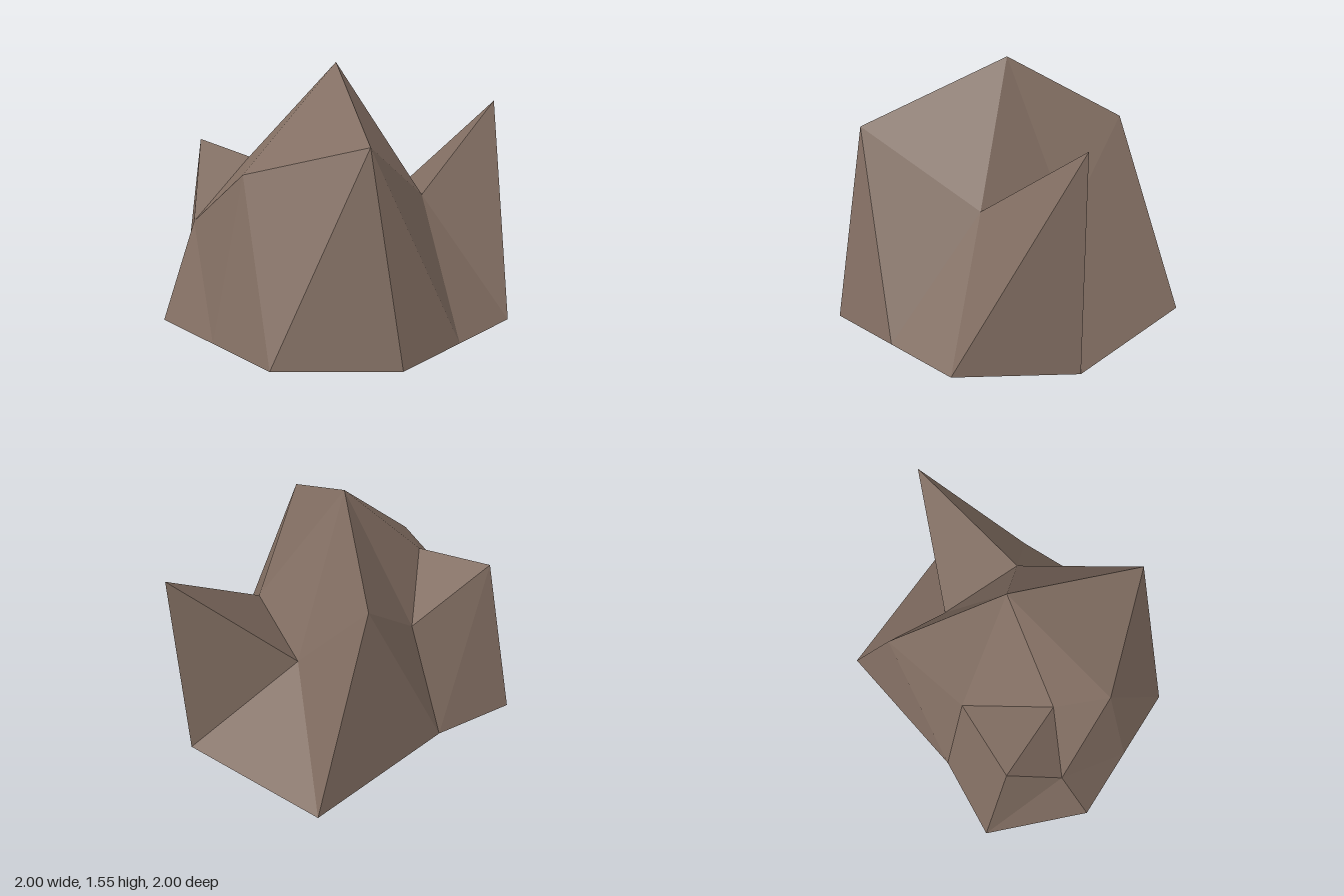
import * as THREE from 'three';

// Corners of the boulder
const v = (x, y, z) => new THREE.Vector3(x, y, z);
const peak = v(0, 1.55, 0), brow = v(-0.5, 1.17, 0.75), shoulder = v(0.5, 1.17, -0.5);
const notch = v(0.5, 0.6, 0), pocket = v(0.25, 0.75, 0.5), spikeTip = v(1, 1.27, 0.5);
const cheek = v(-0.75, 0.95, 0), ledgeFront = v(-0.5, 0.99, -0.25), ledgeBack = v(-0.5, 1.04, -0.75);
const ledgeSide = v(-0.75, 0.58, -0.5), saddle = v(0, 0.77, -0.5);

// Ground outline, counter-clockwise from above
const base = [[1, 0.5], [1, -0.5], [0, -0.75], [-0.5, -1], [-1, -0.5], [-1, 0], [-1, 0.5], [-0.5, 1], [0, 1], [0.5, 1]]
  .map(([x, z]) => v(x, 0, z));
const [rightFront, rightBack, back, backLeft, leftBack, left, leftFront, frontLeft, front, frontRight] = base;

// Triangles around a centre; the ring runs counter-clockwise seen from outside
function fan(center, ...ring) {
  const points = [];
  for (let i = 0; i < ring.length - 1; i++) points.push(center, ring[i], ring[i + 1]);
  return points;
}

export function createModel() {
  const group = new THREE.Group();
  group.name = 'boulder';
  const stone = new THREE.MeshStandardMaterial({ color: 0x826e62, flatShading: true });
  stone.name = 'brown stone';

  function addPart(name, ...fans) {
    const geometry = new THREE.BufferGeometry().setFromPoints(fans.flat());
    geometry.computeVertexNormals();
    const mesh = new THREE.Mesh(geometry, stone);
    mesh.name = name;
    group.add(mesh);
  }

  // Summit facets all the way round the peak
  addPart('summit', fan(peak, notch, shoulder, saddle, ledgeFront, cheek, brow, pocket, notch));

  // Sloping walls down to the ground
  addPart('frontWall',
    fan(brow, cheek, leftFront, frontLeft, front, pocket),
    fan(pocket, front, frontRight));
  addPart('leftWall', fan(cheek, ledgeFront, ledgeSide, left, leftFront));
  addPart('backWall', fan(shoulder, notch, rightBack, back, saddle));

  // Low ledge at the back
  addPart('backLedge',
    fan(ledgeSide, ledgeFront, ledgeBack, backLeft, leftBack, left),
    fan(ledgeBack, ledgeFront, saddle, back, backLeft));

  // Sharp spike at the front corner, and the slope beside it
  addPart('spike',
    fan(notch, pocket, spikeTip, rightFront, rightBack),
    fan(spikeTip, pocket, frontRight, rightFront));

  // Flat underside
  const outline = [...base].reverse();
  addPart('underside', fan(v(0, 0, 0), ...outline, outline[0]));

  return group;
}
